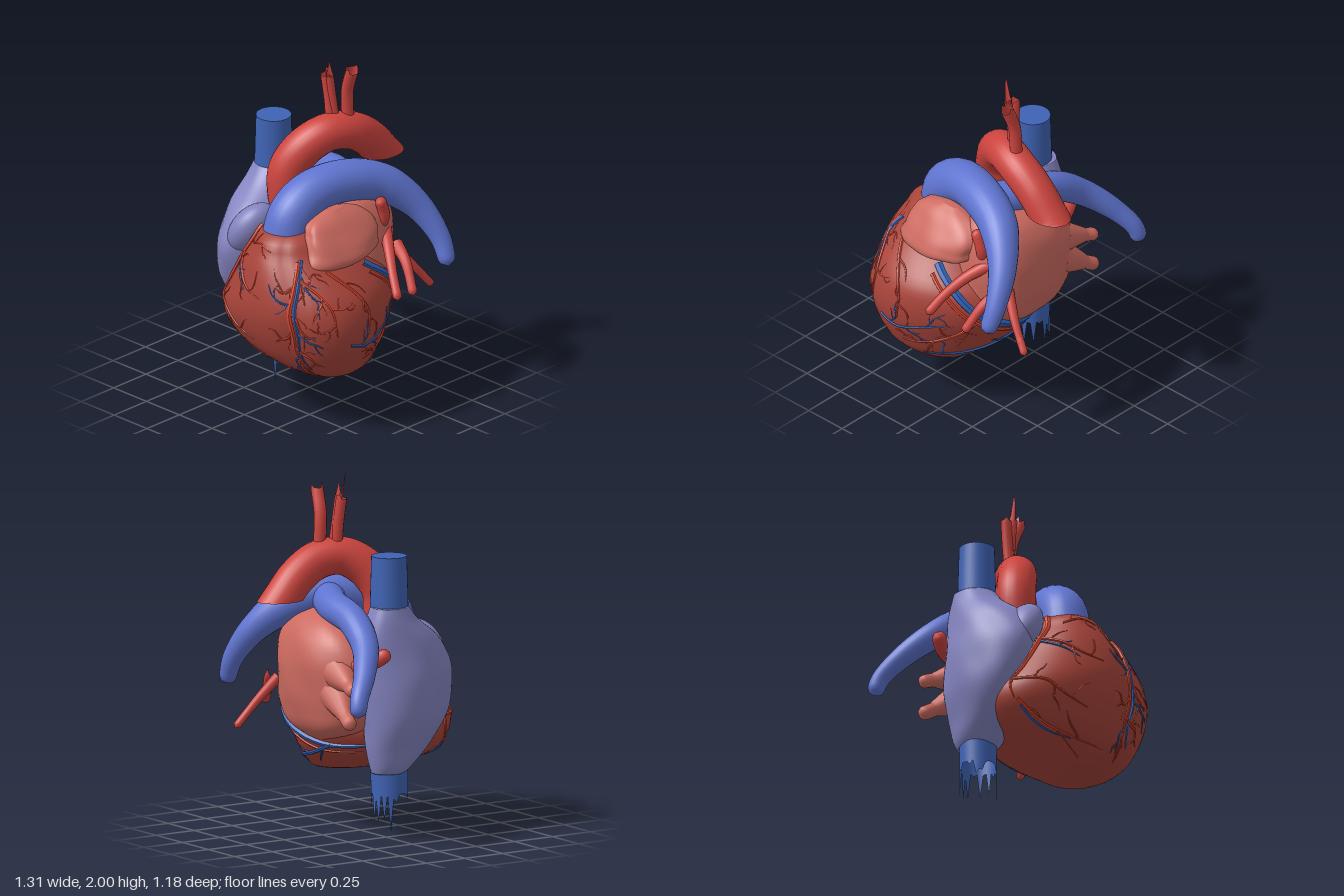
import * as THREE from 'three';
import { toCreasedNormals } from 'three/addons/utils/BufferGeometryUtils.js';

const V = (p) => new THREE.Vector3(...p);
const paint = (color, side = THREE.FrontSide) => new THREE.MeshStandardMaterial({ color, side, roughness: 0.7 });
const MUSCLE = paint(0xa8443a), AORTA = paint(0xcc443e), ATRIUM = paint(0xcc6a60), RIGHT = paint(0x8484c0);
const CAVA = paint(0x3f63b4), PULMONARY = paint(0x5f74d0), ARTERY = paint(0xd8452f), VEIN = paint(0x2f62b8);
const AORTA_OPEN = paint(0xcc443e, THREE.DoubleSide), CAVA_OPEN = paint(0x3f63b4, THREE.DoubleSide);

let seed = 7;
const rand = () => (seed = (seed * 16807) % 2147483647) / 2147483647;

// Organ body from horizontal sections [y, xMin, xMax, zMin, zMax]; skew shears z along x, bow(y) bends both flanks forward
function makeBody(rows, { skew = 0, bow = () => 0, swell = () => 1 }) {
  const spline = new THREE.CubicInterpolant(rows.map((r) => r[0]), rows.flatMap((r) => r.slice(1)), 4, new Float32Array(4));
  const y0 = rows[0][0], y1 = rows[rows.length - 1][0];
  const section = (y) => {
    const [a, b, c, d] = spline.evaluate(y);
    return { cx: (a + b) / 2, rx: (b - a) / 2, cz: (c + d) / 2, rz: (d - c) / 2 };
  };
  const point = (u, y, k = 1) => {
    const s = section(y), f = k * swell(u, y);
    const dx = s.rx * Math.cos(u) * f;
    return new THREE.Vector3(s.cx + dx, y, s.cz + s.rz * Math.sin(u) * f + skew * dx + (bow(y) * dx * dx) / s.rx);
  };
  const angle = (x, y) => {
    const s = section(y);
    return Math.acos(THREE.MathUtils.clamp((x - s.cx) / s.rx, -1, 1));
  };
  const geometry = () => {
    const N = 40, M = 56, pos = [], idx = [];
    for (let i = 0; i <= N; i++) {
      const y = y0 + (y1 - y0) * (1 - Math.cos((Math.PI * i) / N)) / 2;
      for (let j = 0; j < M; j++) pos.push(...point((j / M) * Math.PI * 2, y, i === 0 || i === N ? 0 : 1).toArray());
    }
    for (let i = 0; i < N; i++) for (let j = 0; j < M; j++) {
      const a = i * M + j, b = i * M + ((j + 1) % M), c = a + M, d = b + M;
      idx.push(a, c, b, b, c, d);
    }
    const g = new THREE.BufferGeometry();
    g.setAttribute('position', new THREE.Float32BufferAttribute(pos, 3));
    g.setIndex(idx);
    g.computeVertexNormals();
    return g;
  };
  return { point, angle, geometry };
}

// Tapered vessel along a path: rounded or ragged tip, optionally cut level at a floor height
function vessel(points, radii, { n = 40, sides = 20, ragged = 0, floor = -1 } = {}) {
  const curve = new THREE.CatmullRomCurve3(points.map((p) => (p.isVector3 ? p : V(p))));
  const g = new THREE.TubeGeometry(curve, n, 1, sides), pos = g.attributes.position, L = curve.getLength();
  const tears = Array.from({ length: sides }, (_, j) => (j === 5 ? 1 : rand() ** 4 * 0.9) * ragged);
  for (let i = 0; i <= n; i++) {
    const t = i / n, c = curve.getPointAt(t), T = curve.getTangentAt(t);
    const f = t * (radii.length - 1), k = Math.min(Math.floor(f), radii.length - 2);
    let r = THREE.MathUtils.lerp(radii[k], radii[k + 1], f - k);
    if (!ragged) r *= Math.sqrt(Math.max(0, 1 - Math.max(0, (t * L - L + r) / r) ** 2));
    for (let j = 0; j <= sides; j++) {
      const id = i * (sides + 1) + j;
      const p = new THREE.Vector3().fromBufferAttribute(pos, id).sub(c).multiplyScalar(r).add(c);
      if (ragged && i === n) p.addScaledVector(T, tears[j % sides]);
      if (p.y < floor && t > 0.5) p.addScaledVector(T, (floor - p.y) / T.y);
      pos.setXYZ(id, p.x, p.y, p.z);
    }
  }
  return toCreasedNormals(g, 1);
}

export function createModel() {
  const heart = new THREE.Group();
  const add = (name, geometry, material, parent = heart) => {
    const m = new THREE.Mesh(geometry, material);
    m.name = name;
    parent.add(m);
    return m;
  };

  // Ventricles, with a groove between the two chambers
  const ventricles = makeBody([
    [0.285, 0.34, 0.45, 0.06, 0.21], [0.3, 0.21, 0.49, -0.03, 0.32], [0.35, 0.0, 0.55, -0.12, 0.43],
    [0.42, -0.2, 0.59, -0.2, 0.5], [0.5, -0.29, 0.62, -0.25, 0.545], [0.6, -0.315, 0.64, -0.3, 0.58],
    [0.7, -0.27, 0.635, -0.3, 0.595], [0.8, -0.22, 0.6, -0.24, 0.585], [0.9, -0.16, 0.51, -0.12, 0.56],
    [1.0, -0.08, 0.39, 0.0, 0.515], [1.1, -0.01, 0.3, 0.07, 0.43], [1.13, 0.04, 0.22, 0.15, 0.32],
  ], {
    skew: 0.03,
    bow: (y) => 0.16 - 0.22 * THREE.MathUtils.smoothstep(y, 0.62, 0.98),
    swell: (u) => 1 - 0.05 * Math.exp(-(((u - 1.03) / 0.14) ** 2)),
  });
  add('ventricles', ventricles.geometry(), MUSCLE);

  // Right atrium and its ear
  const lumps = (u, y) => 1 + 0.015 * Math.sin(4 * u + 9 * y) + 0.012 * Math.sin(7 * u - 17 * y);
  add('rightAtrium', makeBody([
    [0.36, -0.35, -0.15, -0.09, 0.12], [0.39, -0.37, -0.13, -0.1, 0.15], [0.5, -0.4, -0.12, -0.13, 0.26],
    [0.65, -0.44, -0.1, -0.15, 0.36], [0.8, -0.445, -0.06, -0.17, 0.41], [0.9, -0.44, -0.05, -0.17, 0.42],
    [1.0, -0.425, -0.05, -0.17, 0.39], [1.1, -0.41, -0.08, -0.16, 0.32], [1.2, -0.39, -0.13, -0.13, 0.19],
    [1.28, -0.37, -0.16, -0.1, 0.12],
  ], { skew: 0.17, swell: lumps }).geometry(), RIGHT);
  const ear = add('rightAuricle', new THREE.SphereGeometry(1, 32, 24), RIGHT);
  ear.scale.set(0.1, 0.17, 0.14);
  ear.position.set(-0.145, 1.0, 0.29);
  ear.rotation.set(-0.25, 0, -0.5);

  // Left atrium, broad and flat behind, and its ear
  add('leftAtrium', makeBody([
    [0.52, 0.0, 0.12, -0.24, -0.13], [0.58, -0.18, 0.28, -0.32, 0.0], [0.7, -0.29, 0.38, -0.365, 0.06],
    [0.85, -0.3, 0.4, -0.385, 0.1], [1.0, -0.28, 0.39, -0.385, 0.1], [1.12, -0.2, 0.36, -0.345, 0.08],
    [1.19, -0.08, 0.3, -0.28, 0.02], [1.23, 0.04, 0.2, -0.19, -0.06],
  ], { skew: -0.03, swell: (u, y) => lumps(u, y) + 0.07 * Math.sin(2 * u) ** 2 }).geometry(), ATRIUM);
  add('leftAuricle', makeBody([
    [0.905, 0.36, 0.43, 0.22, 0.33], [0.95, 0.3, 0.49, -0.06, 0.37], [1.02, 0.25, 0.48, -0.13, 0.36],
    [1.1, 0.23, 0.43, -0.15, 0.34], [1.17, 0.23, 0.37, -0.06, 0.28], [1.205, 0.27, 0.32, 0.05, 0.16],
  ], { skew: -0.15, swell: (u, y) => 2 * lumps(u, y) - 1 }).geometry(), ATRIUM);

  // Aorta with level cut end, and the torn arteries on its arch
  add('aorta', vessel([[-0.04, 1.03, 0.1], [-0.06, 1.2, 0.11], [-0.055, 1.33, 0.1], [0, 1.45, 0.03], [0.06, 1.515, -0.08],
    [0.1, 1.5, -0.21], [0.11, 1.42, -0.34], [0.11, 1.3, -0.45], [0.11, 1.15, -0.58]],
  [0.1, 0.11, 0.108, 0.105, 0.105, 0.104, 0.104], { n: 70, sides: 24, floor: 1.3 }), AORTA);
  [
    [[[0.05, 1.55, -0.12], [0.035, 1.7, -0.12], [0.02, 1.84, -0.11]], 0.03, 0.03],
    [[[0.07, 1.55, -0.14], [0.06, 1.72, -0.12], [0.06, 1.85, -0.1]], 0.022, 0.15],
    [[[0.1, 1.55, -0.2], [0.105, 1.75, -0.19], [0.15, 1.88, -0.18]], 0.035, 0.04],
  ].forEach(([path, r, ragged]) => add('archArtery', vessel(path, [r, r], { n: 16, sides: 12, ragged }), AORTA_OPEN));

  // Pulmonary trunk with left and right arteries
  add('leftPulmonaryArtery', vessel([[0.13, 1.03, 0.31], [0.14, 1.17, 0.27], [0.165, 1.265, 0.14], [0.22, 1.29, -0.05],
    [0.3, 1.24, -0.25], [0.42, 1.1, -0.4], [0.54, 0.92, -0.465], [0.61, 0.77, -0.46]],
  [0.135, 0.13, 0.12, 0.115, 0.105, 0.08, 0.06, 0.045], { n: 60, sides: 24 }), PULMONARY);
  add('rightPulmonaryArtery', vessel([[0.2, 1.27, -0.08], [0, 1.25, -0.17], [-0.2, 1.21, -0.19], [-0.38, 1.1, -0.23],
    [-0.52, 0.97, -0.33], [-0.6, 0.85, -0.42], [-0.62, 0.76, -0.44]],
  [0.095, 0.09, 0.085, 0.08, 0.068, 0.055, 0.045], { n: 60, sides: 24 }), PULMONARY);

  // Great veins above and below the right atrium
  add('upperVein', new THREE.CylinderGeometry(0.097, 0.108, 0.4, 32), CAVA).position.set(-0.255, 1.355, 0.015);
  add('lowerVein', vessel([[-0.25, 0.45, 0.02], [-0.25, 0.35, 0.02], [-0.25, 0.25, 0.02]], [0.105, 0.1],
    { n: 10, sides: 36, ragged: 0.25 }), CAVA_OPEN);

  // Pulmonary veins: path, radius and how far the root flares
  [
    [[[0.33, 1.0, -0.25], [0.45, 0.92, -0.16], [0.55, 0.82, -0.09], [0.64, 0.71, -0.04]], 0.026, 1.4],
    [[[0.34, 0.86, -0.33], [0.45, 0.8, -0.29], [0.56, 0.65, -0.24]], 0.026, 1.4],
    [[[0.3, 0.84, -0.33], [0.36, 0.7, -0.44], [0.4, 0.56, -0.55]], 0.022, 1.4],
    [[[0.32, 0.98, -0.18], [0.37, 1.08, -0.2], [0.38, 1.2, -0.16]], 0.032, 1.4],
    [[[-0.2, 0.95, -0.22], [-0.36, 1.0, -0.16], [-0.43, 1.06, -0.1]], 0.04, 1.2],
    [[[-0.18, 0.92, -0.26], [-0.32, 0.88, -0.3], [-0.41, 0.85, -0.32]], 0.038, 2.6],
    [[[-0.16, 0.8, -0.26], [-0.3, 0.72, -0.31], [-0.4, 0.66, -0.33]], 0.04, 2.6],
  ].forEach(([path, r, flare], i) => add('pulmonaryVein', vessel(path, [r * flare, r * (1 + flare) / 2, r, r], { n: 24, sides: 12 }),
    i < 5 ? AORTA : ATRIUM));

  // Coronary vessels: paths of [angle, height] laid on the ventricles, with wandering twigs
  const coronary = new THREE.Group();
  coronary.name = 'coronaryVessels';
  heart.add(coronary);
  const lay = (path, r, material, twigs = 0, size = 0.2) => {
    const curve = new THREE.CatmullRomCurve3(path.map(([u, y]) => new THREE.Vector3(u, THREE.MathUtils.clamp(y, 0.31, 1.09), 0)));
    const on = curve.getPoints(16).map((p) => ventricles.point(p.x, p.y));
    add('coronaryVessel', vessel(on, [r, r * 0.85, r * 0.35], { n: 28, sides: 6 }), material, coronary);
    for (let k = 0; k < twigs; k++) {
      const t = (k + 0.6) / (twigs + 0.5), p = curve.getPoint(t), T = curve.getTangent(t);
      let a = Math.atan2(T.y, T.x * 0.45) + (k % 2 ? 1 : -1) * (0.6 + 0.5 * rand());
      const twig = [[p.x, p.y]], step = size * (0.7 + 0.5 * rand()) / 4;
      for (let s = 0; s < 4; s++) {
        const [u, y] = twig[s];
        twig.push([u + (Math.cos(a) * step) / 0.45, y + Math.sin(a) * step]);
        a += (rand() - 0.5) * 1.3;
      }
      lay(twig, r * 0.55, material, size > 0.15 ? 2 : 0, size * 0.5);
    }
  };
  const front = (pts) => pts.map(([x, y]) => [ventricles.angle(x, y), y]);
  const shift = (pts, du, dy) => pts.map(([u, y]) => [u + du, y + dy]);

  const descending = front([[0.34, 0.99], [0.38, 0.9], [0.39, 0.75], [0.41, 0.6], [0.4, 0.48], [0.43, 0.37]]);
  lay(descending, 0.016, ARTERY, 6);
  lay(shift(descending, -0.07, 0.01), 0.013, VEIN, 4);
  lay(front([[-0.01, 1.08], [-0.05, 0.98], [-0.13, 0.85], [-0.2, 0.73], [-0.27, 0.62], [-0.25, 0.52]]), 0.018, ARTERY);
  lay(front([[-0.1, 0.93], [-0.01, 0.87], [0.08, 0.81], [0.2, 0.78]]), 0.011, ARTERY, 3, 0.14);
  lay(front([[-0.11, 0.91], [-0.02, 0.84], [0.06, 0.78]]), 0.009, VEIN, 1, 0.12);
  lay(front([[-0.26, 0.64], [-0.13, 0.62], [-0.02, 0.55], [0.12, 0.5]]), 0.009, ARTERY, 3, 0.14);
  lay(front([[-0.24, 0.52], [-0.1, 0.42], [0.08, 0.37], [0.3, 0.34]]), 0.011, ARTERY, 3, 0.12);
  lay(front([[-0.22, 0.49], [-0.08, 0.4], [0.1, 0.36]]), 0.009, VEIN);
  lay(front([[0.02, 1.02], [0.1, 1.05], [0.2, 1.03]]), 0.008, ARTERY, 2, 0.12);

  // Left wall branches
  lay([[0.85, 0.92], [0.6, 0.84], [0.45, 0.74], [0.4, 0.62]], 0.011, ARTERY, 4, 0.18);
  lay([[0.3, 0.94], [0.05, 0.82], [-0.1, 0.7], [-0.1, 0.58]], 0.011, ARTERY, 3, 0.14);
  lay([[0.2, 0.55], [-0.1, 0.52], [-0.4, 0.56], [-0.7, 0.6]], 0.009, VEIN, 3, 0.16);

  // Groove vessels round the back and branches on the underside
  const groove = [[-0.55, 0.91], [-0.75, 0.82], [-1.0, 0.69], [-1.4, 0.57], [-1.9, 0.5], [-2.5, 0.5]];
  lay(groove, 0.026, VEIN);
  lay(shift(groove, 0.08, -0.04), 0.013, ARTERY);
  lay([[-2.0, 0.5], [-1.6, 0.42], [-1.0, 0.37], [-0.4, 0.35]], 0.013, VEIN, 4, 0.14);
  lay([[-1.0, 0.62], [-0.8, 0.52], [-0.5, 0.45], [-0.1, 0.42]], 0.011, ARTERY, 4, 0.16);
  return heart;
}
